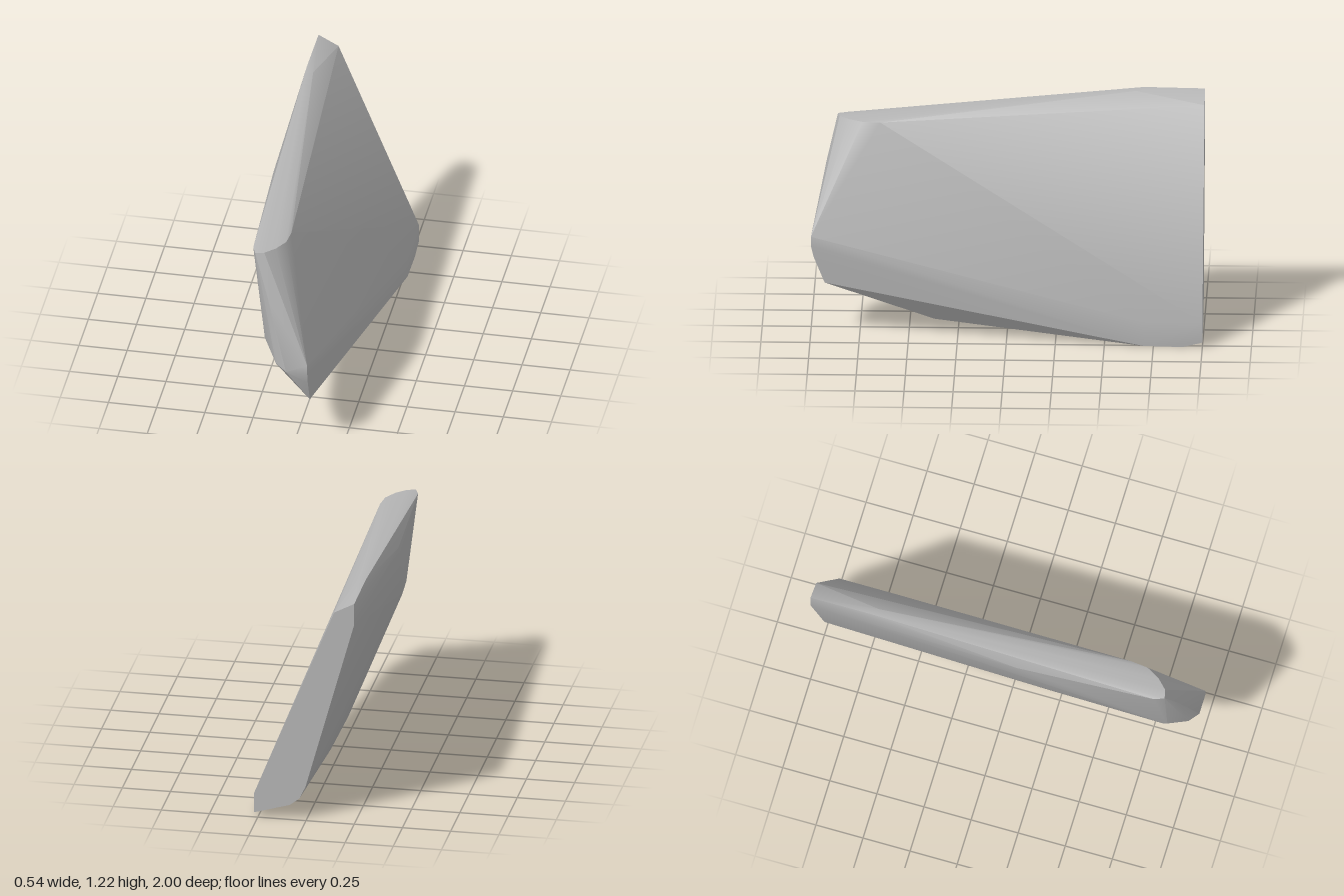
import * as THREE from 'three';
import { ConvexGeometry } from 'three/addons/geometries/ConvexGeometry.js';
import { toCreasedNormals } from 'three/addons/utils/BufferGeometryUtils.js';

const grey = new THREE.MeshStandardMaterial({ color: 0xb4b4b4 });
grey.name = 'stone grey';

export function createModel() {
  const group = new THREE.Group();
  group.name = 'leaningSlab';

  // Outline of the flat back end
  const back = [
    [0.27, 0.13, -1], [0.27, 0.025, -1], [0.084, 0.08, -1], [0.034, 0.12, -1],
    [0.003, 0.185, -1], [-0.25, 1.10, -1], [-0.25, 1.215, -1], [-0.146, 1.16, -1],
  ];
  // Upper ridge and rounded front top edge
  const top = [
    [-0.25, 1.22, -0.69], [-0.21, 1.212, -0.65], [-0.27, 1.075, 0.1],
    [-0.235, 1.077, 0.82], [-0.215, 1.077, 0.87], [-0.17, 1.077, 0.86],
    [-0.12, 1.077, 0.81], [-0.08, 1.077, 0.74], [-0.07, 1.077, 0.65],
  ];
  // Blunt nose
  const nose = [
    [-0.14, 0.85, 0.925], [0.08, 0.51, 1], [0.08, 0.46, 1], [0.08, 0.40, 0.985], [0.08, 0.265, 0.93],
    [-0.03, 0.46, 1], [-0.09, 0.48, 0.96], [-0.15, 0.51, 0.84], [-0.165, 0.57, 0.87],
  ];
  // Tapered underside
  const base = [
    [0.27, 0.13, -0.7], [0.27, 0.004, -0.7], [0.27, 0, -0.9], [0.08, 0.075, 0.37],
    [0.08, 0.02, -0.2], [0.06, 0.025, -0.2], [0.03, 0.05, -0.17], [0.01, 0.08, 0.2],
  ];

  const points = [...back, ...top, ...nose, ...base].map((p) => new THREE.Vector3(...p));
  // Soft facets with crisp main edges
  const geometry = toCreasedNormals(new ConvexGeometry(points), 0.5);
  const slab = new THREE.Mesh(geometry, grey);
  slab.name = 'slab';
  group.add(slab);
  return group;
}
